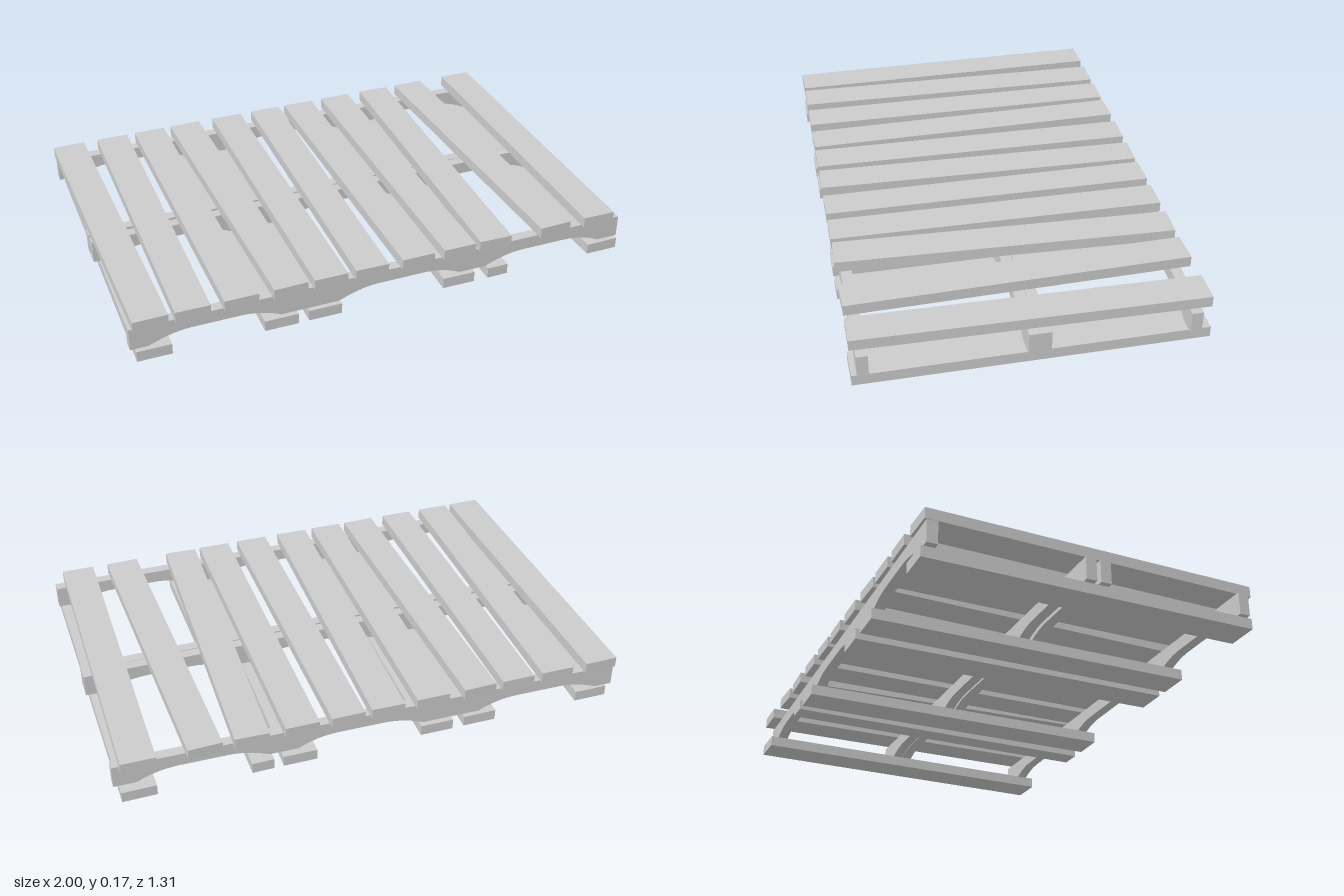
import * as THREE from 'three';

const material = new THREE.MeshStandardMaterial({ color: 0xcccccc, flatShading: true });
const LENGTH = 1.31, THICK = 0.043, STRINGER_BASE = 0.043, STRINGER_TOP = 0.132;

// A plank running front to back, skewed so its ends sit at xFront and xBack
function plank(name, xFront, xBack, width, y) {
  const mesh = new THREE.Mesh(new THREE.BoxGeometry(width, THICK, LENGTH), material);
  mesh.name = name;
  mesh.position.set((xFront + xBack) / 2, y, 0);
  mesh.rotation.y = Math.atan((xFront - xBack) / LENGTH);
  return mesh;
}

// Side profile of a stringer with three shallow arches cut from its underside
function stringerGeometry() {
  const arches = [[-0.93, -0.43], [-0.2, 0.3], [0.41, 0.91]];
  const crown = 0.081, ramp = 0.16;
  const s = new THREE.Shape();
  s.moveTo(-0.998, STRINGER_BASE);
  for (const [a, b] of arches) {
    s.lineTo(a, STRINGER_BASE);
    s.quadraticCurveTo(a + ramp * 0.55, crown, a + ramp, crown);
    s.lineTo(b - ramp, crown);
    s.quadraticCurveTo(b - ramp * 0.45, crown, b, STRINGER_BASE);
  }
  s.lineTo(0.998, STRINGER_BASE);
  s.lineTo(0.998, STRINGER_TOP);
  s.lineTo(-0.998, STRINGER_TOP);
  s.closePath();
  const g = new THREE.ExtrudeGeometry(s, { depth: 0.042, bevelEnabled: false, curveSegments: 6 });
  return g.translate(0, 0, -0.021);
}

export function createModel() {
  const pallet = new THREE.Group();
  pallet.name = 'pallet';

  // Deck boards: [x at front, x at back]
  const deck = [
    [-0.92, -0.935], [-0.765, -0.746], [-0.583, -0.58], [-0.395, -0.42],
    [-0.238, -0.227], [-0.075, -0.045], [0.114, 0.113], [0.286, 0.292],
    [0.438, 0.485], [0.7, 0.66], [0.893, 0.905],
  ];
  deck.forEach(([f, b], i) =>
    pallet.add(plank(`deckBoard${i + 1}`, f, b, 0.131, STRINGER_TOP + THICK / 2)));

  // Bottom boards: [x at front, x at back, width]
  const bottom = [
    [-0.915, -0.905, 0.131], [-0.434, -0.425, 0.131], [-0.262, -0.247, 0.131],
    [0.288, 0.303, 0.131], [0.455, 0.447, 0.085], [0.923, 0.912, 0.131],
  ];
  bottom.forEach(([f, b, w], i) =>
    pallet.add(plank(`bottomBoard${i + 1}`, f, b, w, THICK / 2)));

  // Stringers: [z at the -x end, z at the +x end]; the middle one is doubled
  const geometry = stringerGeometry();
  const stringers = {
    frontStringer: [0.614, 0.614],
    middleStringerFront: [0.034, 0.006],
    middleStringerBack: [-0.024, -0.036],
    backStringer: [-0.625, -0.592],
  };
  for (const [name, [z0, z1]] of Object.entries(stringers)) {
    const mesh = new THREE.Mesh(geometry, material);
    mesh.name = name;
    mesh.position.z = (z0 + z1) / 2;
    mesh.rotation.y = -Math.atan((z1 - z0) / 2);
    pallet.add(mesh);
  }
  return pallet;
}
